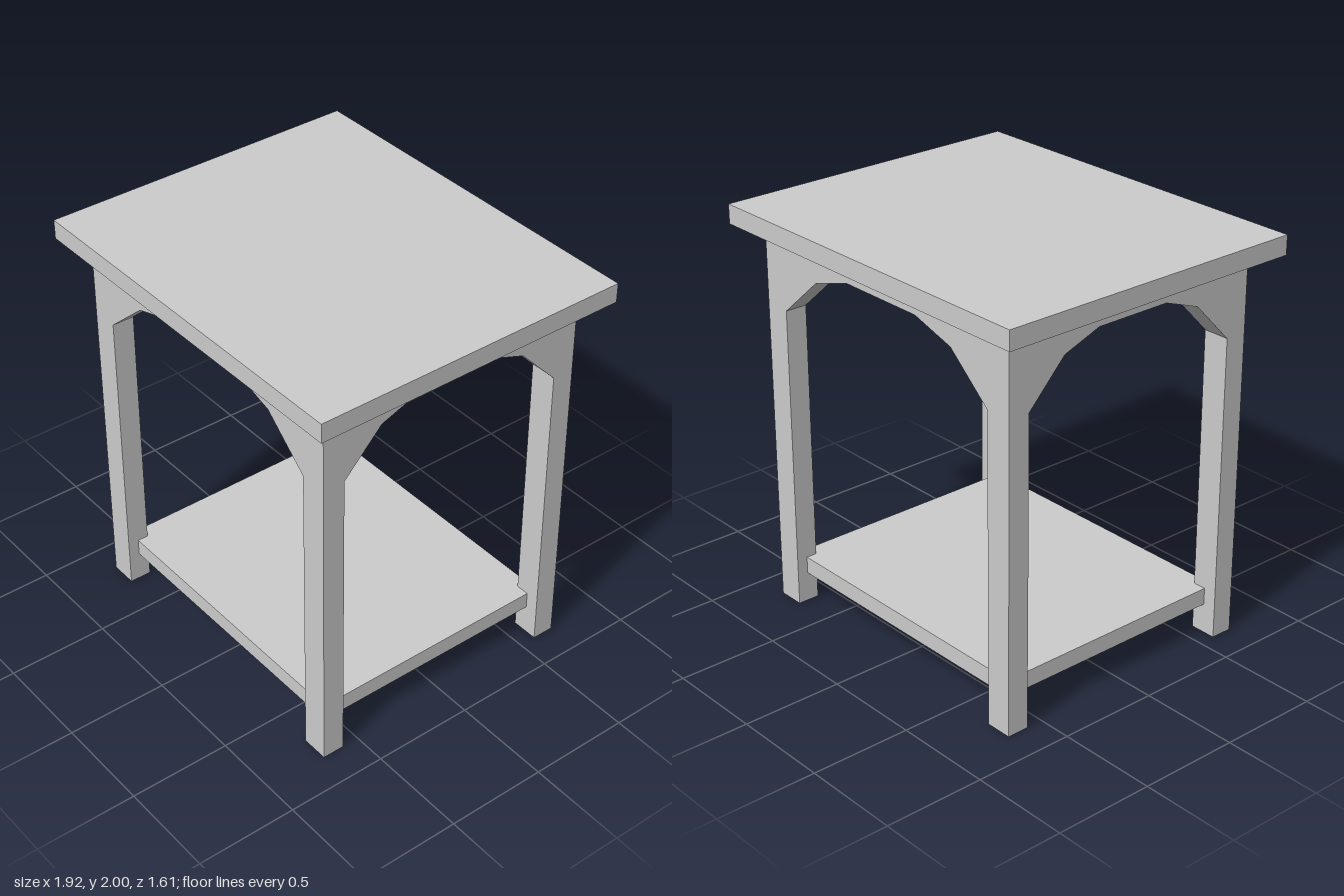
import * as THREE from 'three';

const LEG_X = 0.835, LEG_Z = 0.695;   // outer faces of the legs
const IN_X = 0.7, IN_Z = 0.585;       // inner faces of the legs
const TOP_Y = 1.905;                  // underside of the table top

const material = new THREE.MeshStandardMaterial({ color: 0xcccccc, flatShading: true });

function addMesh(parent, name, geometry, x = 0, y = 0, z = 0) {
  const mesh = new THREE.Mesh(geometry, material);
  mesh.name = name;
  mesh.position.set(x, y, z);
  parent.add(mesh);
  return mesh;
}

// Faceted arch outline, from the right springing point to the left one
function archPoints(half) {
  const right = [[half, 1.53], [half * 0.665, 1.735], [half * 0.335, 1.805]];
  const left = right.map(([x, y]) => [-x, y]).reverse();
  return [...right, ...left];
}

// Extrude an outline, centred on its thickness
function panel(points, depth) {
  const shape = new THREE.Shape(points.map(([x, y]) => new THREE.Vector2(x, y)));
  return new THREE.ExtrudeGeometry(shape, { depth, bevelEnabled: false }).translate(0, 0, -depth / 2);
}

export function createModel() {
  const group = new THREE.Group();
  group.name = 'sideTable';

  // Table top and lower shelf, the shelf let halfway into the legs
  addMesh(group, 'tableTop', new THREE.BoxGeometry(1.92, 2 - TOP_Y, 1.605), 0, (2 + TOP_Y) / 2, 0);
  addMesh(group, 'shelf', new THREE.BoxGeometry(LEG_X + IN_X, 0.085, LEG_Z + IN_Z), 0, 0.192, 0);

  // Front and back frames: two legs joined by an arched apron
  const frame = panel([
    [-LEG_X, 0], [-IN_X, 0],
    ...archPoints(IN_X).reverse(),
    [IN_X, 0], [LEG_X, 0], [LEG_X, TOP_Y], [-LEG_X, TOP_Y],
  ], LEG_Z - IN_Z);
  const frameZ = (LEG_Z + IN_Z) / 2;
  addMesh(group, 'frontLegsAndApron', frame, 0, 0, frameZ);
  addMesh(group, 'backLegsAndApron', frame, 0, 0, -frameZ);

  // Arched side aprons between the frames
  const side = panel([
    ...archPoints(IN_Z), [-IN_Z, TOP_Y], [IN_Z, TOP_Y],
  ], LEG_X - IN_X).rotateY(Math.PI / 2);
  const sideX = (LEG_X + IN_X) / 2;
  addMesh(group, 'leftApron', side, sideX, 0, 0);
  addMesh(group, 'rightApron', side, -sideX, 0, 0);

  return group;
}
